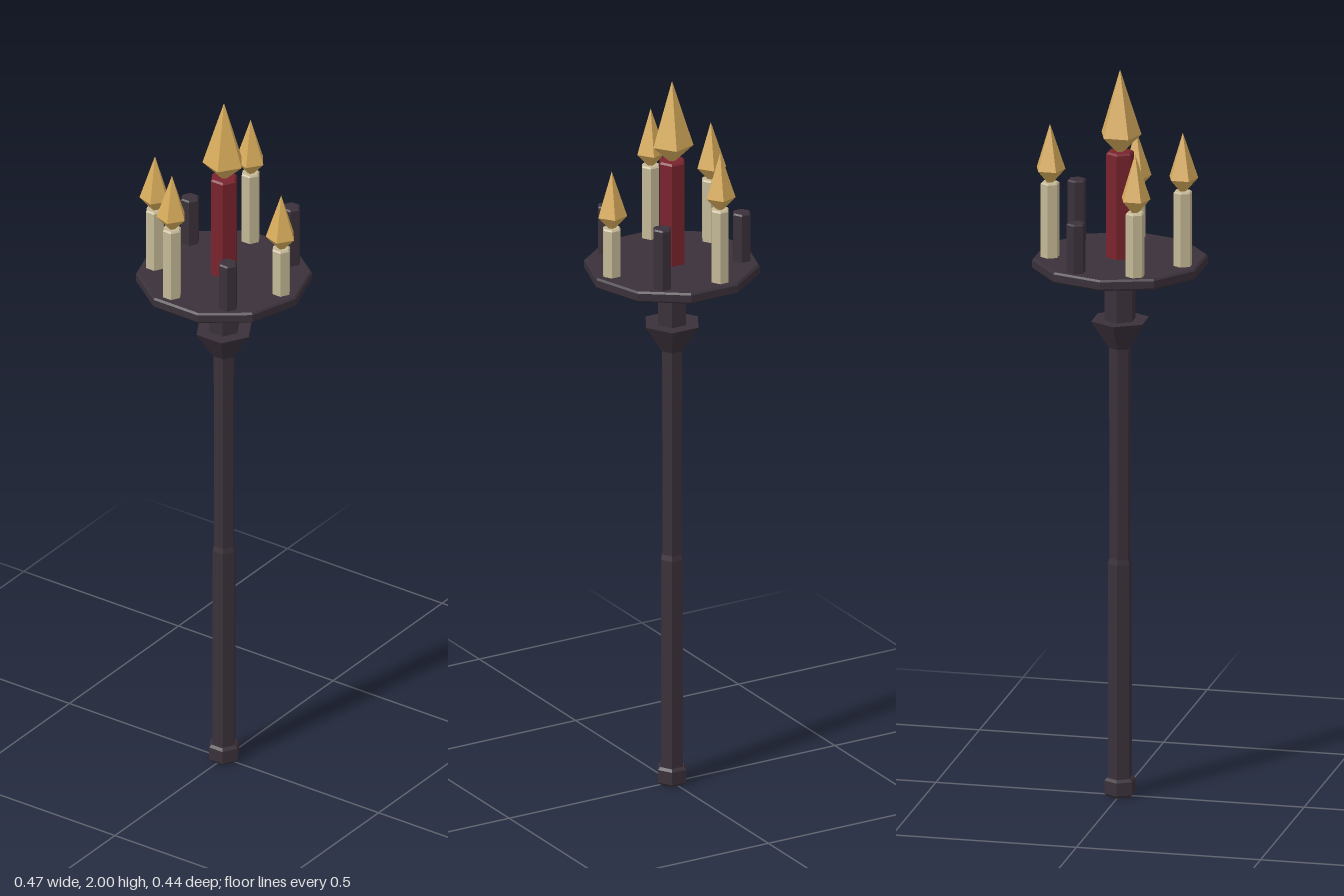
import * as THREE from 'three';

const mat = (name, color) => {
  const m = new THREE.MeshStandardMaterial({ color });
  m.name = name;
  return m;
};

// Faceted solid of revolution; profile is [radius, y] pairs from bottom to top, one corner on +x
function turned(name, profile, sides, material) {
  const points = profile.map(([r, y]) => new THREE.Vector2(r, y));
  const geometry = new THREE.LatheGeometry(points, sides, Math.PI / 2).toNonIndexed();
  geometry.computeVertexNormals();
  const mesh = new THREE.Mesh(geometry, material);
  mesh.name = name;
  return mesh;
}

// Closed prism with small bevels at both ends
function bevelled(name, r, y0, y1, b, sides, material) {
  return turned(name, [[0, y0], [r - b, y0], [r, y0 + b], [r, y1 - b], [r - b, y1], [0, y1]], sides, material);
}

// Double-cone flame: short lower part, long upper point
function flame(r, y0, waist, tip, material) {
  return turned('flame', [[0, y0], [0.008, y0], [r, waist], [0, tip]], 5, material);
}

export function createModel() {
  const iron = mat('dark iron', 0x3a313a);
  const cream = mat('cream wax', 0xc4b896);
  const red = mat('red wax', 0x7a232d);
  const gold = mat('gold flame', 0xd8ac5c);
  const model = new THREE.Group();
  model.name = 'candleStaff';

  // Staff
  model.add(
    bevelled('foot', 0.043, 0, 0.05, 0.007, 6, iron),
    turned('lowerShaft', [[0, 0.04], [0.033, 0.04], [0.033, 0.64], [0.029, 0.655], [0, 0.655]], 6, iron),
    turned('upperShaft', [[0, 0.64], [0.029, 0.64], [0.03, 1.25], [0, 1.25]], 6, iron),
    turned('collar', [[0, 1.235], [0.031, 1.235], [0.08, 1.312], [0, 1.312]], 6, iron),
    bevelled('neck', 0.043, 1.305, 1.46, 0.007, 6, iron),
    bevelled('tray', 0.233, 1.455, 1.485, 0.005, 10, iron)
  );

  // Tall candle in the middle
  const centre = new THREE.Group();
  centre.name = 'centreCandle';
  centre.add(bevelled('wax', 0.038, 1.48, 1.775, 0.005, 6, red), flame(0.057, 1.772, 1.82, 2, gold));
  model.add(centre);

  // Seven outer candles evenly spaced in a ring: [top height, lit]
  const ring = [[1.62, true], [1.62, false], [1.69, true], [1.66, true], [1.62, false], [1.69, true], [1.655, false]];
  ring.forEach(([top, lit], i) => {
    const angle = (i / ring.length) * Math.PI * 2;
    const candle = new THREE.Group();
    candle.name = lit ? 'litCandle' : 'burntCandle';
    candle.position.set(0.185 * Math.cos(angle), 0, 0.185 * Math.sin(angle));
    candle.add(bevelled('wax', 0.026, 1.48, top, 0.004, 6, lit ? cream : iron));
    if (lit) candle.add(flame(0.041, top - 0.002, top + 0.035, top + 0.16, gold));
    model.add(candle);
  });
  return model;
}
